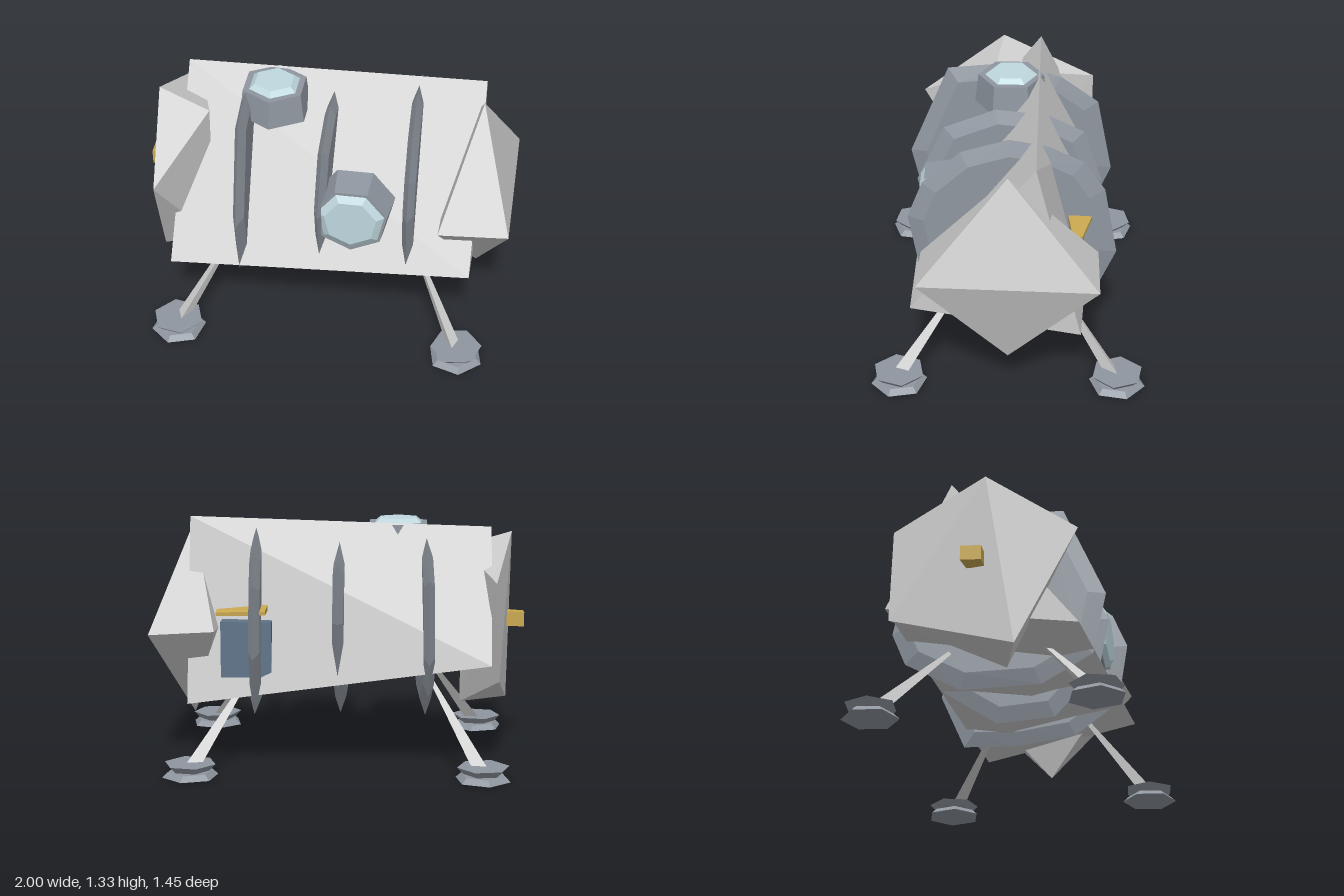
import * as THREE from 'three';
import { ConvexGeometry } from 'three/addons/geometries/ConvexGeometry.js';

const V = (x, y, z) => new THREE.Vector3(x, y, z);
const paint = (color) => new THREE.MeshStandardMaterial({ color, flatShading: true });

export function createModel() {
  const model = new THREE.Group();
  const hullMat = paint(0xcccccc);
  const trimMat = paint(0x8f969f);
  const glassMat = paint(0xbfd8de);
  const goldMat = paint(0xc9a850);
  const doorMat = paint(0x5f7488);

  const add = (name, geometry, material, parent = model) => {
    const mesh = new THREE.Mesh(geometry, material);
    mesh.name = name;
    parent.add(mesh);
    return mesh;
  };
  const solid = (name, points, material) =>
    add(name, new ConvexGeometry(points.map((p) => V(...p))), material);

  // Three-sided, slightly twisted main barrel
  solid('barrel', [
    [-0.81, 1.28, -0.165], [-0.81, 0.4, 0.505], [-0.81, 0.59, -0.51],
    [0.81, 1.325, -0.14], [0.81, 0.5, 0.505], [0.81, 0.34, -0.38],
  ], hullMat);

  // Faceted end caps
  solid('wedgeEndCap', [
    [1, 0.76, 0.46], [1, 0.73, -0.465], [0.81, 1.28, 0],
    [0.82, 0.21, 0], [0.63, 0.73, 0.455], [0.65, 0.75, -0.465],
  ], hullMat);
  solid('flatEndCap', [
    [-0.93, 1.23, 0.05], [-0.65, 1.14, 0.1], [-0.87, 0.9, 0.52], [-0.83, 1.02, -0.47],
    [-0.85, 0.5, -0.475], [-0.92, 0.27, 0.2], [-0.66, 0.26, 0.1],
  ], hullMat);

  // Irregular ribs with a sharp, lens-shaped edge: [z, y] outlines
  const ribs = [
    { x: -0.455, lean: 0.05, outline: [[0, 1.285], [0.355, 1.26], [0.42, 1.1], [0.575, 0.74], [0.5, 0.4],
      [0.23, 0.25], [-0.2, 0.25], [-0.5, 0.42], [-0.575, 0.6], [-0.49, 1.03], [-0.28, 1.19]] },
    { x: 0, lean: 0, outline: [[0.08, 1.23], [0.36, 1.12], [0.51, 0.8], [0.45, 0.5],
      [0.2, 0.25], [-0.12, 0.24], [-0.42, 0.45], [-0.5, 0.8], [-0.4, 1.1], [-0.2, 1.2]] },
    { x: 0.455, lean: 0.03, outline: [[0, 1.3], [0.25, 1.23], [0.45, 1.05], [0.53, 0.85], [0.47, 0.5],
      [0.22, 0.32], [-0.12, 0.28], [-0.43, 0.3], [-0.57, 0.62], [-0.5, 1.0], [-0.39, 1.165], [-0.2, 1.26]] },
  ];
  ribs.forEach(({ x, lean, outline }, i) => {
    const points = outline.flatMap(([z, y]) => [
      [x + lean * z, y, z],
      ...[-1, 1].map((s) => [x + lean * z + s * 0.03, 0.77 + (y - 0.77) * 0.84, z * 0.84]),
    ]);
    solid(`rib${i + 1}`, points, trimMat);
  });

  // Round windows: a faceted frame with a raised pane
  const porthole = (name, radius, depth, sides, paneRadius) => {
    const group = new THREE.Group();
    group.name = name;
    add('windowFrame', new THREE.CylinderGeometry(radius * 0.9, radius, depth, sides), trimMat, group);
    const pane = add('windowPane', new THREE.CylinderGeometry(paneRadius * 0.75, paneRadius, 0.03, sides), glassMat, group);
    pane.position.y = depth / 2 + 0.01;
    model.add(group);
    return group;
  };
  const frontWindow = porthole('frontWindow', 0.22, 0.17, 7, 0.19);
  frontWindow.position.set(0.17, 0.77, 0.37);
  frontWindow.rotation.x = Math.PI / 2;
  const skylight = porthole('skylight', 0.2, 0.16, 6, 0.15);
  skylight.position.set(-0.31, 1.205, 0);

  // Entrance on the back with its sloping canopy
  add('door', new THREE.BoxGeometry(0.27, 0.3, 0.1), doorMat).position.set(0.49, 0.64, -0.34);
  solid('doorCanopy', [
    [0.38, 0.84, -0.46], [0.38, 0.84, -0.3], [0.38, 0.87, -0.3], [0.38, 0.86, -0.46],
    [0.65, 0.82, -0.38], [0.65, 0.82, -0.33], [0.65, 0.85, -0.33], [0.65, 0.84, -0.38],
  ], goldMat);

  // Docking light on the flat end
  solid('endLight', [
    [-1, 0.72, -0.06], [-1, 0.71, 0.05], [-1, 0.8, -0.06], [-1, 0.79, 0.05],
    [-0.88, 0.72, -0.05], [-0.88, 0.72, 0.04], [-0.88, 0.8, -0.05], [-0.88, 0.8, 0.04],
  ], goldMat);

  // Splayed legs standing on two-layer pads
  for (const sx of [-1, 1]) {
    for (const sz of [-1, 1]) {
      const leg = new THREE.Group();
      leg.name = `${sz > 0 ? 'front' : 'back'}${sx > 0 ? 'Left' : 'Right'}Leg`;
      const top = V(sx * 0.5, 0.45, sz * 0.25);
      const foot = V(sx * 0.76, 0.04, sz * 0.57);
      const along = top.clone().sub(foot);
      const strut = add('strut', new THREE.CylinderGeometry(0.012, 0.042, along.length(), 3), hullMat, leg);
      strut.position.copy(top).add(foot).multiplyScalar(0.5);
      strut.quaternion.setFromUnitVectors(V(0, 1, 0), along.normalize());
      [[0.014, 0.15, 0.2], [0.052, 0.14, 0.7]].forEach(([y, r, turn], k) => {
        const pad = add('footPad', new THREE.CylinderGeometry(k ? r : r * 0.8, k ? r * 0.75 : r, k ? 0.036 : 0.028, 6), trimMat, leg);
        pad.position.set(sx * 0.77, y, sz * 0.58);
        pad.rotation.y = sx * sz * turn;
      });
      model.add(leg);
    }
  }
  return model;
}
